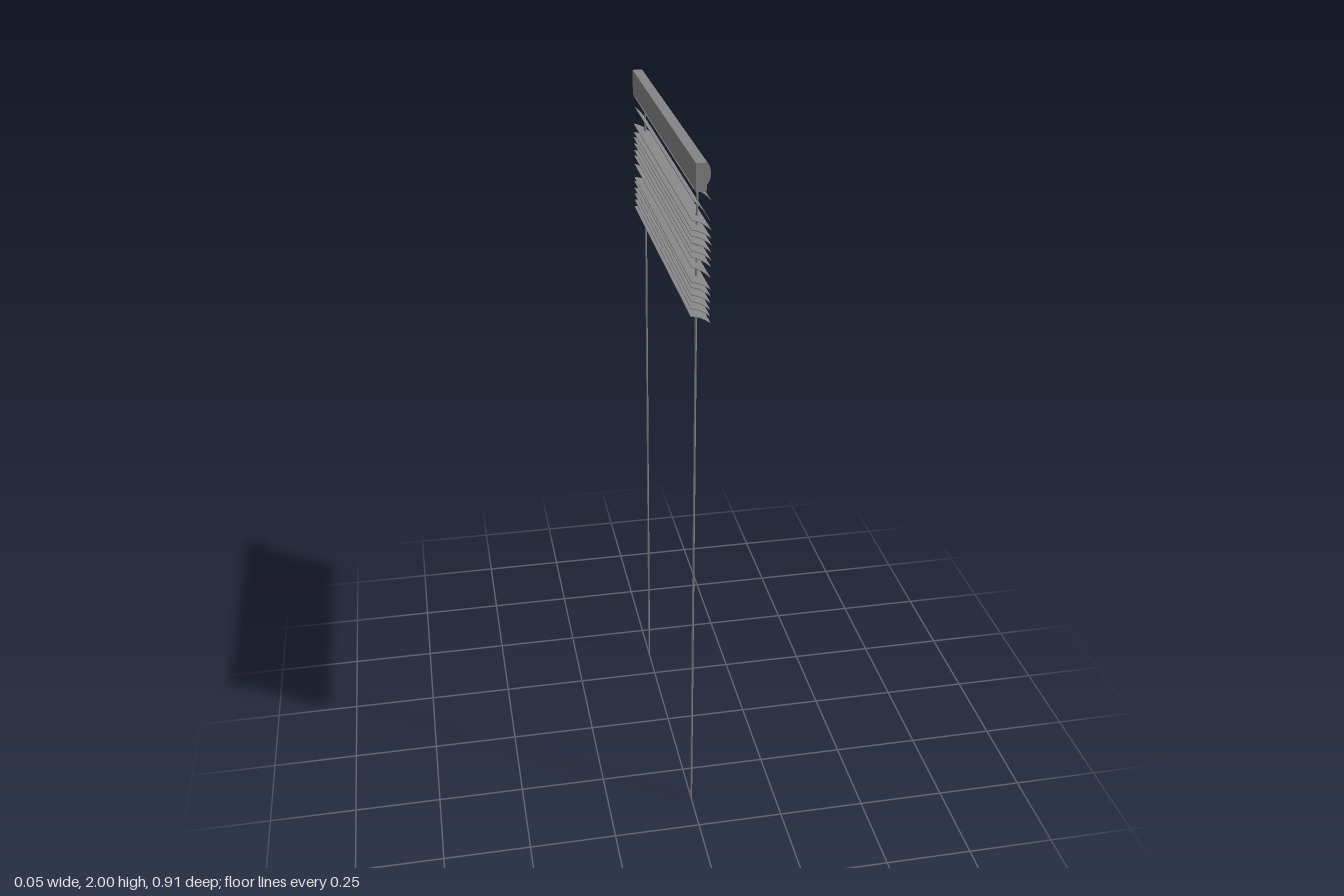
import * as THREE from 'three';

const grey = new THREE.MeshStandardMaterial({ color: 0x848484, side: THREE.DoubleSide });

// Extrudes an x-y outline along z between two limits
function extrudeAlongZ(shape, z0, z1, name) {
  const geometry = new THREE.ExtrudeGeometry(shape, {
    depth: z1 - z0, bevelEnabled: false, curveSegments: 8,
  });
  geometry.translate(0, 0, z0);
  const mesh = new THREE.Mesh(geometry, grey);
  mesh.name = name;
  return mesh;
}

// Thin, slightly crowned slat: high on -x, low on +x
function slat(bottom, height, halfWidth) {
  const t = 0.0025, crown = 0.004, top = bottom + height;
  const mid = (top + bottom) / 2 + crown * 2;
  const s = new THREE.Shape();
  s.moveTo(-halfWidth, top);
  s.quadraticCurveTo(crown, mid, halfWidth, bottom + t);
  s.lineTo(halfWidth, bottom);
  s.quadraticCurveTo(crown, mid - t, -halfWidth, top - t);
  s.closePath();
  return extrudeAlongZ(s, -0.413, 0.437, 'slat');
}

export function createModel() {
  const group = new THREE.Group();
  group.name = 'blind';

  // Head rail: flat back, front bulging above the middle
  const rail = new THREE.Shape();
  rail.moveTo(-0.019, 1.93);
  rail.lineTo(0.007, 1.93);
  rail.lineTo(0.008, 1.947);
  rail.bezierCurveTo(0.013, 1.952, 0.017, 1.96, 0.017, 1.972);
  rail.bezierCurveTo(0.017, 1.986, 0.013, 1.997, 0.007, 2);
  rail.lineTo(-0.019, 2);
  rail.closePath();
  group.add(extrudeAlongZ(rail, -0.457, 0.457, 'headRail'));

  // Unevenly gathered slats: lower edge, rise, half width
  const slats = [
    [1.902, 0.032, 0.021], [1.85, 0.054, 0.02], [1.826, 0.03, 0.024],
    [1.805, 0.026, 0.024], [1.788, 0.028, 0.025], [1.77, 0.028, 0.024],
    [1.75, 0.028, 0.024], [1.732, 0.03, 0.024], [1.704, 0.032, 0.023],
    [1.673, 0.024, 0.024], [1.656, 0.028, 0.024], [1.638, 0.026, 0.024],
    [1.619, 0.028, 0.024], [1.602, 0.026, 0.024], [1.584, 0.024, 0.025],
  ];
  for (const [bottom, rise, half] of slats) group.add(slat(bottom, rise, half));

  // Hanging cords threaded through the slats
  for (const z of [0.382, -0.358]) {
    const cord = new THREE.Mesh(new THREE.CylinderGeometry(0.003, 0.003, 1.94, 16), grey);
    cord.position.set(0, 0.97, z);
    cord.name = 'cord';
    group.add(cord);
  }
  return group;
}
